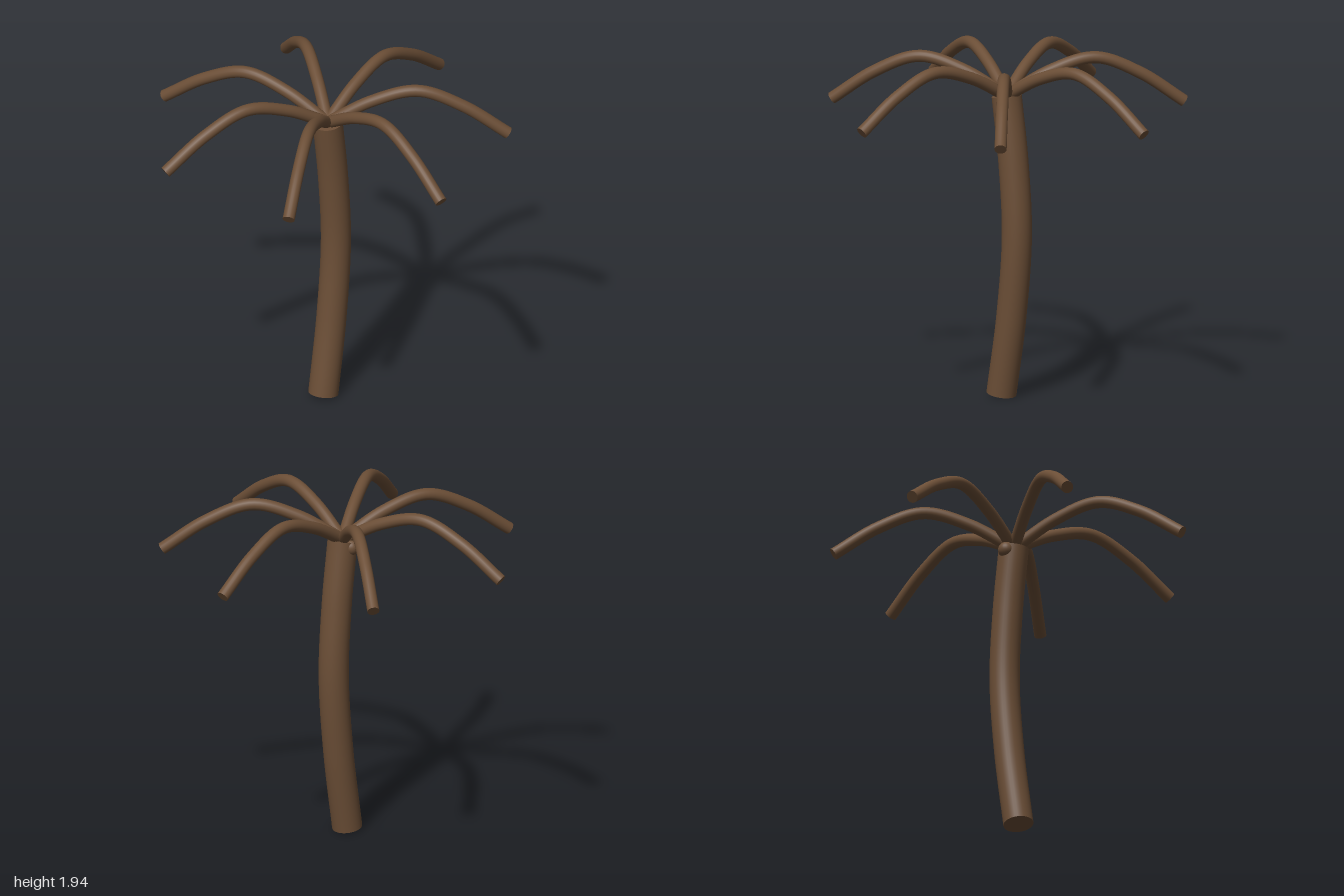
import * as THREE from 'three';

const bark = new THREE.MeshStandardMaterial({ color: 0x6b4e36 });
bark.name = 'barkBrown';

// Round limb swept along a smooth path, closed with flat discs at both ends
function limb(name, points, radius, sides, steps) {
  const group = new THREE.Group();
  group.name = name;
  const curve = new THREE.CatmullRomCurve3(points);
  const body = new THREE.Mesh(new THREE.TubeGeometry(curve, steps, radius, sides), bark);
  body.name = name + 'Body';
  group.add(body);
  for (const t of [0, 1]) {
    const cap = new THREE.Mesh(new THREE.CircleGeometry(radius, sides), bark);
    const outward = curve.getTangent(t).multiplyScalar(t ? 1 : -1);
    cap.quaternion.setFromUnitVectors(new THREE.Vector3(0, 0, 1), outward);
    cap.position.copy(curve.getPoint(t));
    cap.name = name + (t ? 'EndCap' : 'StartCap');
    group.add(cap);
  }
  return group;
}

export function createModel() {
  const model = new THREE.Group();
  model.name = 'palmTree';
  const crown = new THREE.Vector3(-0.047, 1.71, 0);

  // Gently bowed trunk
  const trunkPath = [[-0.085, 0.013], [-0.012, 0.47], [0.027, 0.93], [0.002, 1.34], [-0.047, 1.71]]
    .map(([x, y]) => new THREE.Vector3(x, y, 0));
  model.add(limb('trunk', trunkPath, 0.084, 32, 48));

  // Seven arching fronds, given as distance from the crown and height above it
  const arch = [[0, 0], [0.25, 0.135], [0.5, 0.197], [0.75, 0.1], [1, -0.072]];
  for (let i = 0; i < 7; i++) {
    const a = (i / 7) * Math.PI * 2;
    const path = arch.map(([d, h]) =>
      new THREE.Vector3(d * Math.cos(a), h, d * Math.sin(a)).add(crown));
    model.add(limb('frond' + (i + 1), path, 0.034, 20, 40));
  }

  // Small round knob at the back of the crown
  const knob = new THREE.Mesh(new THREE.SphereGeometry(0.046, 24, 16), bark);
  knob.name = 'knob';
  knob.position.set(-0.052, 1.678, -0.061);
  model.add(knob);

  return model;
}
